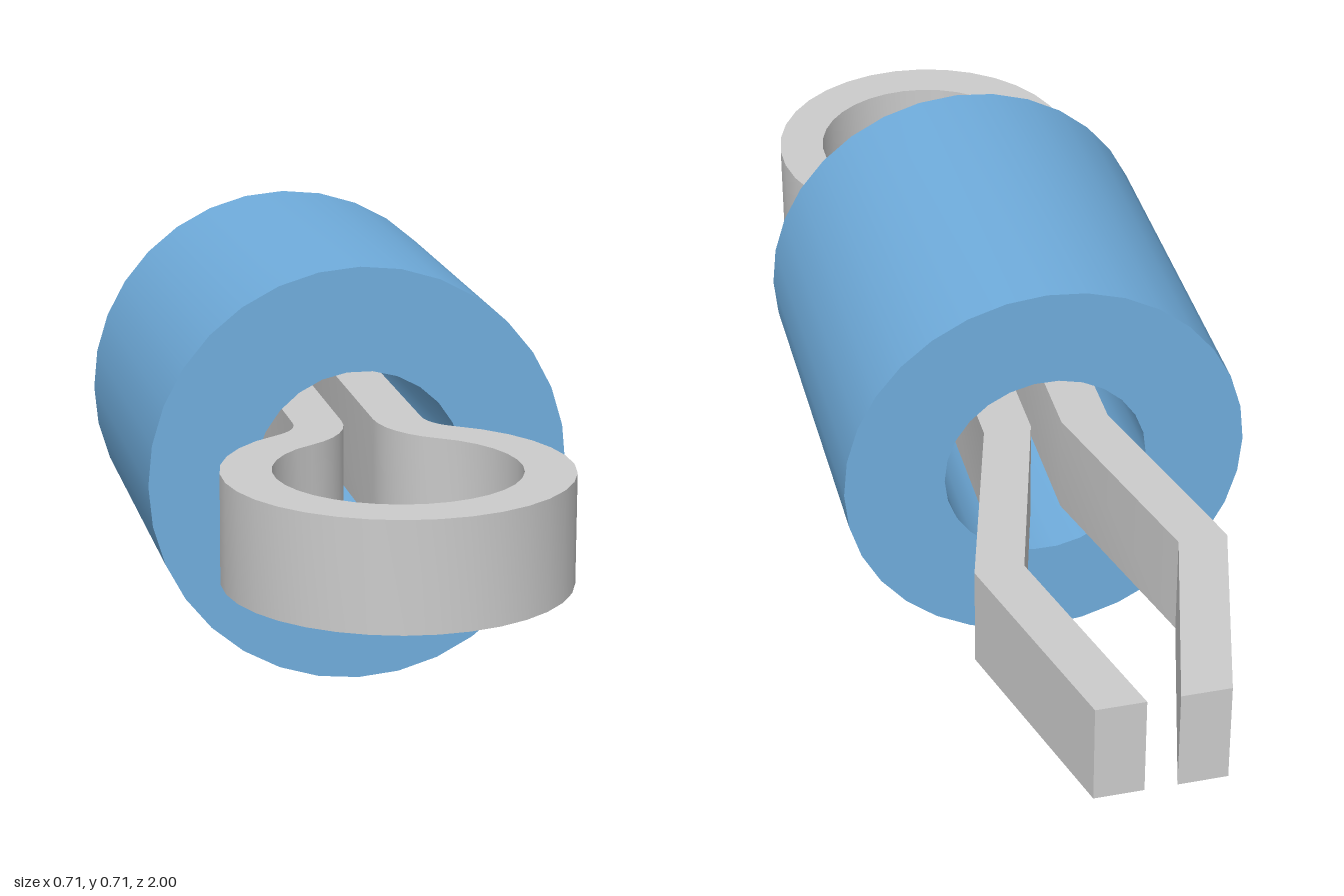
import * as THREE from 'three';
import { toCreasedNormals } from 'three/addons/utils/BufferGeometryUtils.js';

const MID_Y = 0.358;

// Points on an arc, both ends included
function arc(cx, cy, r, from, to, steps) {
  return Array.from({ length: steps + 1 }, (_, i) => {
    const a = from + (to - from) * i / steps;
    return new THREE.Vector2(cx + r * Math.cos(a), cy + r * Math.sin(a));
  });
}

function extrude(shape, depth) {
  const geometry = new THREE.ExtrudeGeometry(shape, { depth, bevelEnabled: false });
  return toCreasedNormals(geometry, 0.36);
}

// Hollow cylinder lying along z
function createSleeve() {
  const shape = new THREE.Shape(arc(0, 0, 0.357, 0, Math.PI * 2, 32).slice(0, -1));
  shape.holes.push(new THREE.Path(arc(0, 0, 0.18, 0, Math.PI * 2, 26).slice(0, -1)));
  const sleeve = new THREE.Mesh(
    extrude(shape, 0.685),
    new THREE.MeshStandardMaterial({ color: 0x70addd })
  );
  sleeve.name = 'sleeve';
  sleeve.position.set(0, MID_Y, -0.26);
  return sleeve;
}

// One face of the right-hand half of the clip, from tip to loop, as (x, z)
function halfEdge(tipX, bendX, loopRadius, filletRadius) {
  const turn = Math.acos(0.525);
  return [
    new THREE.Vector2(tipX, -1),
    new THREE.Vector2(bendX, -0.63),
    new THREE.Vector2(tipX, -0.26),
    ...arc(0.191, 0.406, filletRadius, Math.PI, Math.PI - turn, 6),
    ...arc(0, 0.715, loopRadius, -turn, Math.PI / 2, 14).slice(1)
  ];
}

// Flat strip bent into a loop with two sprung prongs
function createClip() {
  const mirror = (points) =>
    points.slice(0, -1).reverse().map((p) => new THREE.Vector2(-p.x, p.y));
  const outer = halfEdge(0.11, 0.213, 0.283, 0.081);
  const inner = halfEdge(0.027, 0.13, 0.2, 0.164);
  const outline = [
    ...outer, ...mirror(outer),
    ...[...inner, ...mirror(inner)].reverse()
  ];
  const geometry = extrude(new THREE.Shape(outline), 0.182);
  geometry.rotateX(Math.PI / 2);
  const clip = new THREE.Mesh(
    geometry,
    new THREE.MeshStandardMaterial({ color: 0xcccccc })
  );
  clip.name = 'springClip';
  clip.position.y = MID_Y + 0.091;
  return clip;
}

export function createModel() {
  const model = new THREE.Group();
  model.name = 'clipInSleeve';
  model.add(createSleeve(), createClip());
  return model;
}
